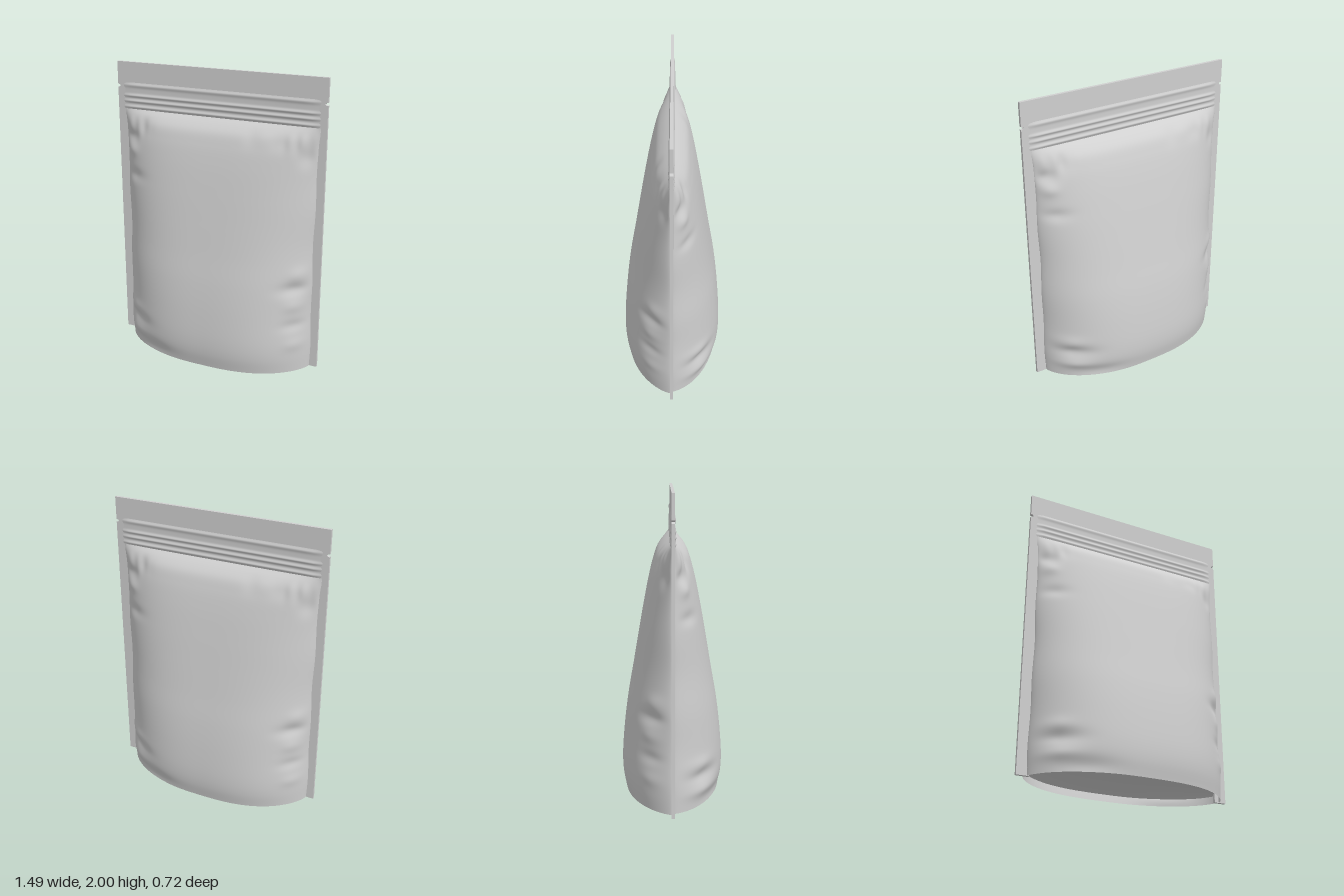
import * as THREE from 'three';

const foil = new THREE.MeshStandardMaterial({ color: 0xd0d0d0, side: THREE.DoubleSide });
foil.name = 'silver grey foil';

const SEAM = 0.01;       // half thickness of the sealed film
const BODY_TOP = 1.68;
const SHIFT = 0.008;     // each panel sags slightly towards its own left

// Greatest bulge of one panel at each height: [height, bulge]
const bulge = [
  [0, 0.308], [0.1, 0.326], [0.2, 0.33], [0.4, 0.316], [0.6, 0.291], [0.8, 0.256], [1, 0.222],
  [1.2, 0.187], [1.4, 0.148], [1.52, 0.118], [1.6, 0.088], [1.65, 0.045], [BODY_TOP, 0.008],
];
const bulgeCurve = new THREE.CatmullRomCurve3(
  bulge.map(([y, d]) => new THREE.Vector3(d, y, 0)), false, 'centripetal');
const bulgePoints = bulgeCurve.getPoints(240);

function bulgeAt(y) {
  let i = 1;
  while (i < bulgePoints.length - 1 && bulgePoints[i].y < y) i++;
  const a = bulgePoints[i - 1], b = bulgePoints[i];
  return THREE.MathUtils.lerp(a.x, b.x, THREE.MathUtils.clamp((y - a.y) / (b.y - a.y), 0, 1));
}

// Soft dents and puckers: x, y, x radius, y radius, depth
const dents = [
  [-0.66, 1.5, 0.08, 0.045, -0.03], [-0.64, 1.41, 0.06, 0.04, 0.016], [-0.62, 1.24, 0.1, 0.04, -0.015],
  [-0.61, 0.29, 0.1, 0.045, 0.014], [-0.57, 0.21, 0.13, 0.045, -0.022], [-0.6, 0.11, 0.13, 0.035, 0.012],
  [-0.42, 0.04, 0.18, 0.05, -0.014], [0.63, 0.61, 0.09, 0.045, -0.03], [0.65, 0.71, 0.06, 0.05, 0.02],
  [0.63, 0.49, 0.06, 0.045, 0.015], [0.63, 0.35, 0.07, 0.04, -0.02], [0.64, 0.21, 0.06, 0.045, 0.015],
  [0.65, 1.49, 0.05, 0.06, -0.02], [0.46, 1.58, 0.06, 0.05, -0.007], [0.27, 1.6, 0.05, 0.06, -0.006],
  [-0.53, 1.58, 0.06, 0.06, -0.012],
];

const halfWidth = (y) => 0.688 + 0.006 * Math.sin(y * 9) * Math.sin(y * 4 + 1)
  + 0.01 * THREE.MathUtils.smoothstep(y, 1.55, BODY_TOP);

// Depth of the panel in front of the seam plane; s runs -1..1 across the width
function panelDepth(s, y) {
  const x = s * halfWidth(y);
  const round = Math.pow(Math.max(0, 1 - Math.pow(Math.abs(s), 2.7 + 0.5 * y)), 0.72);
  let crease = 0;
  for (const [cx, cy, rx, ry, a] of dents)
    crease += a * Math.exp(-(((x - cx) / rx) ** 2) - ((y - cy) / ry) ** 2);
  crease += 0.004 * Math.sin(x * 75) * Math.exp(-(((y - 1.58) / 0.06) ** 2))
    * THREE.MathUtils.smoothstep(Math.abs(x), 0.42, 0.58);
  const fade = Math.min(1, round * 1.8) * THREE.MathUtils.smoothstep(BODY_TOP - y, 0, 0.07);
  return SEAM + Math.max(0, bulgeAt(y) * round + crease * fade);
}

// Smooth grid surface from a rule of two parameters in 0..1
function surface(nu, nv, rule) {
  const pos = [], index = [];
  for (let j = 0; j <= nv; j++)
    for (let i = 0; i <= nu; i++) pos.push(...rule(i / nu, j / nv));
  for (let j = 0; j < nv; j++)
    for (let i = 0; i < nu; i++) {
      const a = j * (nu + 1) + i, b = a + 1, c = a + nu + 1, d = c + 1;
      index.push(a, b, d, a, d, c);
    }
  const g = new THREE.BufferGeometry();
  g.setAttribute('position', new THREE.Float32BufferAttribute(pos, 3));
  g.setIndex(index);
  g.computeVertexNormals();
  return g;
}

function addMesh(parent, name, geometry) {
  const m = new THREE.Mesh(geometry, foil);
  m.name = name;
  parent.add(m);
  return m;
}

// Front part plus the same part turned half round for the back
function addPair(parent, name, geometry) {
  addMesh(parent, 'front' + name, geometry);
  addMesh(parent, 'back' + name, geometry).rotation.y = Math.PI;
}

const across = (u) => Math.sin((u - 0.5) * Math.PI); // packs columns near the edges

export function createModel() {
  const model = new THREE.Group();
  model.name = 'pouch';
  const pouch = new THREE.Group();
  pouch.name = 'pouchBody';
  pouch.rotation.y = 0.147;
  model.add(pouch);

  // Bulging panels
  addPair(pouch, 'Panel', surface(120, 150, (u, v) => {
    const y = v * BODY_TOP, s = across(u);
    return [s * halfWidth(y) + SHIFT, y, panelDepth(s, y)];
  }));

  // Bottom gusset: a shallow tent set above the rim, creased along the middle
  addPair(pouch, 'Gusset', surface(60, 16, (u, v) => {
    const s = across(u), w = 1 - v;
    const y = 0.05 + 0.08 * (1 - w * w) * (1 - s ** 4);
    return [s * halfWidth(0.05) + SHIFT * w, y, w * panelDepth(s, 0.05)];
  }).scale(1, 1, 1));

  // Flat sealed border: header and side seams with tear notches
  const half = [
    [0.75, 0], [0.75, 1.825], [0.738, 1.827], [0.731, 1.835], [0.738, 1.843], [0.75, 1.845], [0.75, 2],
  ];
  const border = new THREE.Shape();
  border.moveTo(0.665, 0);
  half.forEach(([x, y]) => border.lineTo(x, y));
  [...half].reverse().forEach(([x, y]) => border.lineTo(-x, y));
  border.lineTo(-0.665, 0);
  border.lineTo(-0.665, 1.66);
  border.lineTo(0.665, 1.66);
  border.closePath();
  const borderGeo = new THREE.ExtrudeGeometry(border, { depth: SEAM * 2, bevelEnabled: false });
  borderGeo.translate(0, 0, -SEAM);
  addMesh(pouch, 'sealedBorder', borderGeo);

  // Ridged zip strips: centre height, radius, rise
  const ridges = [[1.695, 0.011, 0.007], [1.735, 0.011, 0.007], [1.772, 0.011, 0.007], [1.842, 0.014, 0.005]];
  addPair(pouch, 'ZipStrip', surface(24, 90, (u, v) => {
    const y = 1.665 + 0.197 * v;
    let z = 0.003 * Math.min(1, Math.min(v, 1 - v) * 12);
    for (const [c, r, h] of ridges) z += h * Math.exp(-(((y - c) / r) ** 2));
    const end = Math.min(1, Math.min(u, 1 - u) * 24);
    return [(u - 0.5) * 1.425, y, SEAM - 0.001 + z * end];
  }));

  return model;
}
